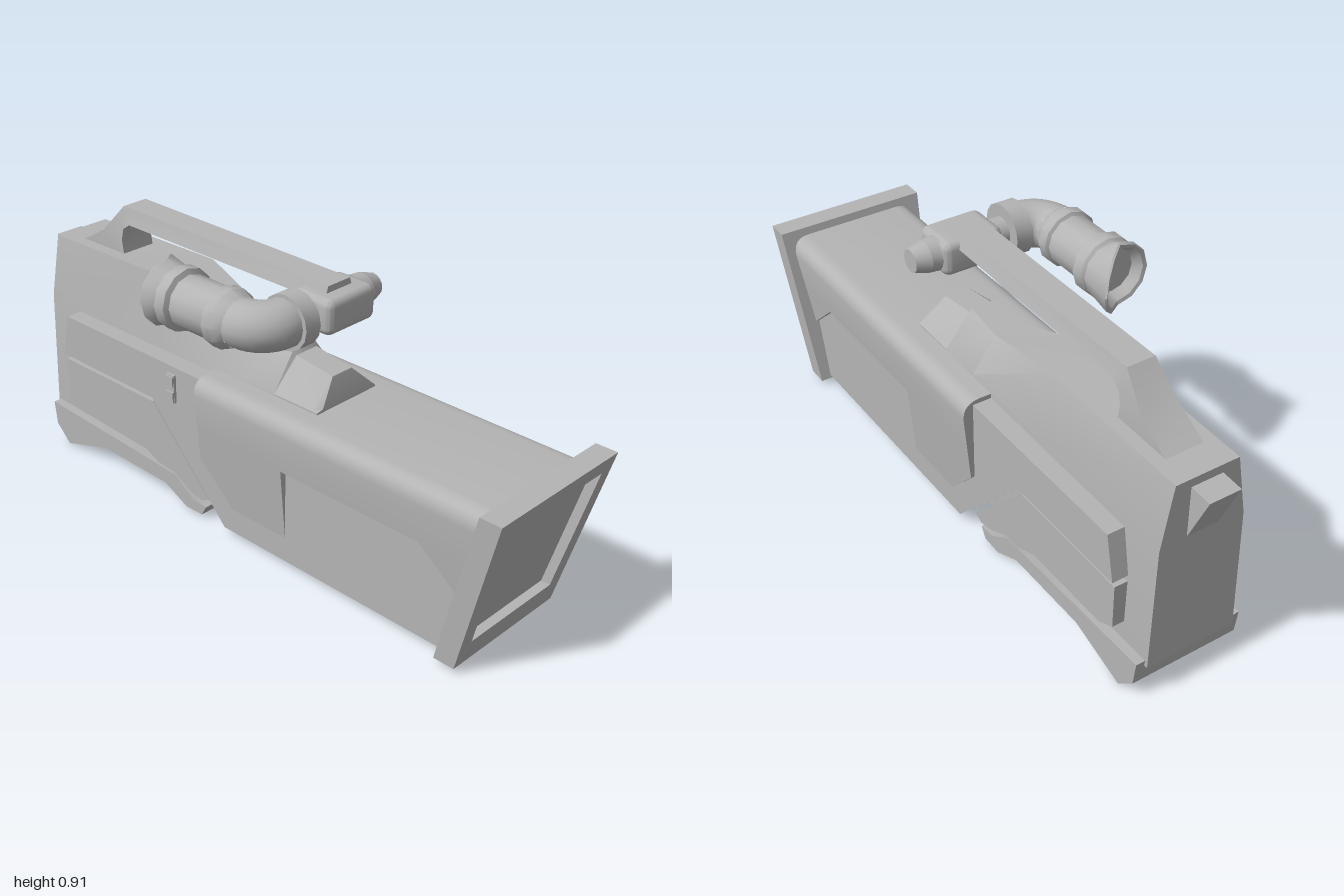
import * as THREE from 'three';
import { toCreasedNormals } from 'three/addons/utils/BufferGeometryUtils.js';
import { RoundedBoxGeometry } from 'three/addons/geometries/RoundedBoxGeometry.js';

const grey = new THREE.MeshStandardMaterial({ color: 0xb4b4b4 });
grey.name = 'plain grey';
const ZC = -0.063; // centre plane of the body

const shapeOf = (pts) => new THREE.Shape(pts.map(([a, b]) => new THREE.Vector2(a, b)));

// Move every vertex of a geometry by a rule
function warp(geo, rule) {
  const p = geo.attributes.position;
  for (let i = 0; i < p.count; i++) p.setXYZ(i, ...rule(p.getX(i), p.getY(i), p.getZ(i)));
  return geo;
}

// Side profile given a half width that varies with height
function slab(pts, half) {
  const geo = new THREE.ExtrudeGeometry(shapeOf(pts), { depth: 1, bevelEnabled: false });
  return warp(geo, (x, y, z) => [x, y, ZC + (2 * z - 1) * half(y)]);
}

// Cross-section swept along x between two slanted ends
function sweep(shape, from, to) {
  const geo = new THREE.ExtrudeGeometry(shape, { depth: 1, bevelEnabled: false, curveSegments: 6 });
  return warp(geo, (u, y, w) => [from(y) + w * (to(y) - from(y)), y, ZC - u]);
}

// Closed skin through equal rings of points, ordered along x
function loft(rings) {
  const n = rings[0].length, last = (rings.length - 1) * n, index = [];
  for (let i = 0; i < last; i += n) {
    for (let k = 0; k < n; k++) {
      const a = i + k, b = i + (k + 1) % n;
      index.push(a, b, a + n, b, b + n, a + n);
    }
  }
  for (let k = 1; k < n - 1; k++) index.push(0, k + 1, k, last, last + k, last + k + 1);
  const geo = new THREE.BufferGeometry();
  geo.setAttribute('position', new THREE.Float32BufferAttribute(rings.flat(2), 3));
  geo.setIndex(index);
  return geo;
}

export function createModel() {
  const model = new THREE.Group();
  const add = (name, geo, x = 0, y = 0, z = 0) => {
    const plain = geo.index ? geo.toNonIndexed() : geo;
    plain.computeVertexNormals();
    const mesh = new THREE.Mesh(toCreasedNormals(plain, 0.6), grey);
    mesh.name = name;
    mesh.position.set(x, y, z);
    model.add(mesh);
  };

  // Rear body, narrowing into a ridge toward the front: x, top, top half, base half
  const stations = [
    [-0.93, 0.73, 0.1, 0.136], [-0.4, 0.74, 0.1, 0.132], [-0.05, 0.64, 0.05, 0.127],
    [0.09, 0.65, 0.042, 0.125], [0.1, 0.63, 0.042, 0.125], [0.24, 0.61, 0.04, 0.125], [0.26, 0.535, 0.1, 0.125],
  ];
  add('rearBody', loft(stations.map(([x, top, t, m]) => [
    [top, -t], [top, t], [0.53, m], [0.12, m + 0.01], [0.12, -m - 0.01], [0.53, -m],
  ].map(([y, z]) => [x, y, ZC + z]))));

  // Hull with its long rear side panels
  add('hull', slab([
    [-0.79, 0.51], [-0.82, 0.365], [-0.38, 0.365], [-0.06, 0.03],
    [0.81, 0.03], [0.92, 0.48], [-0.1, 0.48], [-0.1, 0.51],
  ], () => 0.19));
  add('lowerSidePanel', slab([
    [-0.82, 0.345], [-0.39, 0.345], [-0.14, 0.09], [-0.17, 0.075], [-0.22, 0.085],
    [-0.3, 0.125], [-0.37, 0.13], [-0.45, 0.165], [-0.76, 0.17], [-0.82, 0.2],
  ], () => 0.182));

  // Barrel cover with rounded shoulders, and its hanging flaps
  const coverHalf = (y) => 0.18 + 0.09 * y;
  const slant = (y) => 0.795 + 0.255 * (y - 0.02);
  const cover = new THREE.Shape();
  const b = coverHalf(0.35), t = coverHalf(0.47);
  cover.moveTo(-b, 0.35);
  cover.lineTo(b, 0.35);
  cover.lineTo(t, 0.47);
  cover.quadraticCurveTo(t, 0.525, t - 0.055, 0.525);
  cover.lineTo(-t + 0.055, 0.525);
  cover.quadraticCurveTo(-t, 0.525, -t, 0.47);
  cover.closePath();
  add('barrelCover', sweep(cover, () => -0.15, (y) => slant(y) + 0.02));
  add('rearFlap', slab([[-0.15, 0.35], [-0.15, 0.245], [-0.02, 0.11], [0.2, 0.11], [0.2, 0.35]], coverHalf));
  add('frontFlap', slab([[0.71, 0.35], [0.85, 0.23], [0.89, 0.35]], coverHalf));

  // Slanted muzzle frame with a recessed panel
  const trapezoid = (top, topHalf, bottom, bottomHalf) =>
    [[-bottomHalf, bottom], [bottomHalf, bottom], [topHalf, top], [-topHalf, top]];
  const frame = shapeOf(trapezoid(0.55, 0.2575, 0.02, 0.225));
  const opening = trapezoid(0.5, 0.208, 0.1, 0.18);
  frame.holes.push(shapeOf(opening));
  add('muzzleFrame', sweep(frame, slant, (y) => slant(y) + 0.07));
  add('muzzlePanel', sweep(shapeOf(opening), slant, (y) => slant(y) + 0.04));

  // Foot plate under the rear body
  add('foot', slab([
    [-0.92, 0.14], [-0.91, 0.06], [-0.85, 0.003], [-0.65, 0.065], [-0.35, 0.06], [-0.25, 0.013],
    [-0.18, 0.015], [-0.16, 0.05], [-0.22, 0.055], [-0.3, 0.11], [-0.7, 0.13],
  ], () => 0.175));

  // Rear hook
  add('rearHook', slab([[-1, 0.7], [-0.9, 0.705], [-0.9, 0.53], [-0.925, 0.53]], () => 0.05));

  // Carrying handle
  add('handle', slab([
    [-0.85, 0.725], [-0.74, 0.79], [-0.65, 0.89], [0.22, 0.885], [0.22, 0.84],
    [-0.61, 0.84], [-0.64, 0.82], [-0.65, 0.78], [-0.64, 0.72],
  ], (y) => (y > 0.87 ? 0.045 : 0.06)));

  // Small side switch
  add('switchPlate', new THREE.BoxGeometry(0.035, 0.095, 0.012), -0.283, 0.437, 0.13);
  for (const y of [0.41, 0.463]) {
    add('switchButton', new THREE.BoxGeometry(0.032, 0.035, 0.014), -0.283, y, 0.134);
  }

  // Sight tube with eyecup, whose inner side reaches back
  const profile = [
    [0, -0.17], [0.07, -0.17], [0.088, -0.2], [0.1, -0.203], [0.104, -0.195], [0.088, -0.158],
    [0.096, -0.15], [0.096, -0.112], [0.08, -0.105], [0.08, 0.03], [0.09, 0.036], [0.09, 0.068], [0.074, 0.1],
  ].map(([r, h]) => new THREE.Vector2(r, h));
  const sight = new THREE.LatheGeometry(profile, 12).rotateZ(-Math.PI / 2);
  warp(sight, (x, y, z) => [x < -0.19 ? x - 0.08 * Math.max(0, -z / 0.1) : x, y, z]);
  add('sightTube', sight, 0, 0.81, 0.205);

  // Elbow and cross arm
  add('sightElbow', new THREE.TorusGeometry(0.085, 0.073, 16, 8, Math.PI / 2).rotateX(Math.PI / 2), 0.1, 0.81, 0.12);
  const armPart = (name, zFront, zBack, rFront, rBack) => add(name,
    new THREE.CylinderGeometry(rFront, rBack, zFront - zBack, 16).rotateX(Math.PI / 2),
    0.187, 0.81, (zFront + zBack) / 2);
  armPart('armRing', 0.122, 0.065, 0.084, 0.084);
  armPart('armNeck', 0.07, 0.02, 0.045, 0.045);
  add('armBlock', new RoundedBoxGeometry(0.15, 0.11, 0.2, 3, 0.025), 0.195, 0.81, -0.07);
  armPart('armTip', -0.16, -0.2, 0.054, 0.05);
  armPart('armCap', -0.2, -0.247, 0.05, 0.036);

  return model;
}
